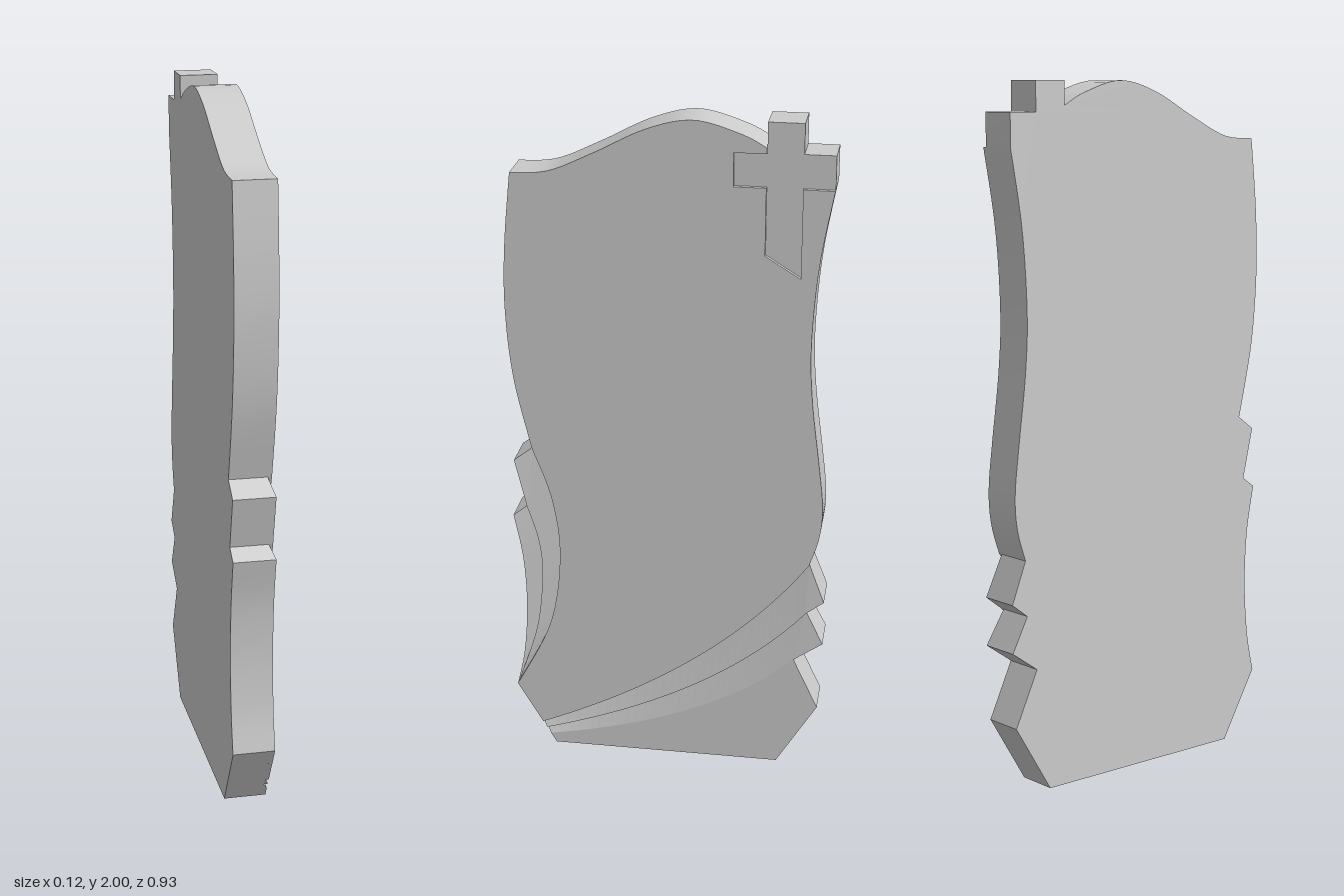
import * as THREE from 'three';
import { toCreasedNormals } from 'three/addons/utils/BufferGeometryUtils.js';

const BACK = -0.061, FLOOR = 0.049, FACE = 0.061; // depths along x
const STEPS = 32;

// Profiles are drawn as (u, y) with u = -z.
const spline = (...pts) =>
  new THREE.SplineCurve(pts.map(([u, y]) => new THREE.Vector2(u, y)))
    .getPoints(STEPS).map((p) => [p.x, p.y]);
const bow = (a, c, b) =>
  new THREE.QuadraticBezierCurve(new THREE.Vector2(...a), new THREE.Vector2(...c), new THREE.Vector2(...b))
    .getPoints(STEPS).map((p) => [p.x, p.y]);
const reversed = (pts) => [...pts].reverse();

// Slab edges
const backEdge = spline([0.418, 0.68], [0.445, 0.77], [0.452, 0.87], [0.437, 1.01], [0.413, 1.2], [0.405, 1.37], [0.42, 1.6], [0.457, 1.82]);
const topEdge = spline([0.27, 1.932], [0.2, 1.967], [0.07, 2], [-0.06, 1.97], [-0.2, 1.9], [-0.33, 1.842], [-0.44, 1.832]);
const frontEdge = spline([-0.44, 1.832], [-0.461, 1.62], [-0.466, 1.43], [-0.448, 1.22], [-0.4, 1.0]);
const frontLowEdge = spline([-0.462, 0.78], [-0.437, 0.64], [-0.43, 0.48], [-0.442, 0.32], [-0.467, 0.2]);

// Curves bounding the carved drapery folds
const lowFolds = [
  bow([-0.391, 0.07], [0.15, 0.3], [0.418, 0.68]),
  bow([-0.379, 0.05], [0.15, 0.21], [0.413, 0.52]),
  bow([-0.3675, 0.03], [0.13, 0.12], [0.38, 0.36]),
];
const sideFolds = [
  spline([-0.4, 1.0], [-0.345, 0.84], [-0.325, 0.65], [-0.36, 0.42], [-0.467, 0.2]),
  spline([-0.42, 0.81], [-0.388, 0.7], [-0.38, 0.58], [-0.402, 0.4], [-0.467, 0.2]),
  frontLowEdge,
];

function plate(name, outline, from, to, material) {
  const shape = new THREE.Shape(outline.map(([u, y]) => new THREE.Vector2(u, y)));
  const geometry = new THREE.ExtrudeGeometry(shape, { depth: to - from, bevelEnabled: false });
  geometry.translate(0, 0, from).rotateY(Math.PI / 2);
  const mesh = new THREE.Mesh(toCreasedNormals(geometry, 0.4), material);
  mesh.name = name;
  return mesh;
}

// A fold slopes from its deep curve out to its raised curve, then drops as a step.
function fold(name, deep, raised, tip, material) {
  const inner = [...deep], outer = [...raised];
  if (tip) {
    inner.push(inner.at(-1));
    outer.push(tip);
  }
  inner.push(inner.at(-1));
  outer.push(inner.at(-1));
  inner.unshift(inner[0]);
  outer.unshift(inner[0]);
  const positions = [];
  const quad = (a, b, c, d) => [a, b, c, a, c, d].forEach((p) => positions.push(...p));
  const at = ([u, y], x) => [x, y, -u];
  const height = (i) => (i === 0 || i === outer.length - 1 ? FLOOR : FACE);
  for (let i = 0; i < inner.length - 1; i++) {
    const a = at(outer[i], height(i)), b = at(outer[i + 1], height(i + 1));
    quad(a, b, at(inner[i + 1], FLOOR), at(inner[i], FLOOR));
    quad(at(outer[i], FLOOR), at(outer[i + 1], FLOOR), b, a);
  }
  const geometry = new THREE.BufferGeometry();
  geometry.setAttribute('position', new THREE.Float32BufferAttribute(positions, 3));
  geometry.computeVertexNormals();
  const mesh = new THREE.Mesh(geometry, material);
  mesh.name = name;
  return mesh;
}

export function createModel() {
  const group = new THREE.Group();
  group.name = 'carvedHeadstone';
  const stone = new THREE.MeshStandardMaterial({ color: 0xcccccc });
  const carved = new THREE.MeshStandardMaterial({ color: 0xcccccc, side: THREE.DoubleSide });

  // Full silhouette up to the floor of the carving
  group.add(plate('slab', [
    [-0.35, 0], [0.335, 0], [0.455, 0.2], [0.38, 0.36], [0.465, 0.42], [0.413, 0.52], [0.465, 0.56],
    ...backEdge, [0.457, 1.915], [0.37, 1.915], [0.37, 2], [0.27, 2],
    ...topEdge, ...frontEdge.slice(1), [-0.455, 0.96], [-0.42, 0.81], ...frontLowEdge,
  ], BACK, FLOOR, stone));

  // Raised face, leaving the cross recessed
  group.add(plate('raisedFace', [
    ...lowFolds[0], ...backEdge.slice(1),
    [0.37, 1.82], [0.37, 1.565], [0.27, 1.627], [0.27, 1.82], [0.18, 1.82], [0.18, 1.915], [0.27, 1.915],
    ...topEdge, ...frontEdge.slice(1), ...sideFolds[0].slice(1),
  ], FLOOR, FACE, stone));

  // Raised foot below the folds
  group.add(plate('foot', [
    [-0.35, 0], [0.335, 0], [0.455, 0.2], ...reversed(lowFolds[2]),
  ], FLOOR, FACE, stone));

  // Folds sweeping across the base and down the front edge
  const lowTips = [[0.465, 0.56], [0.465, 0.42]];
  const sideTips = [[-0.455, 0.96], null];
  for (let i = 0; i < 2; i++) {
    group.add(fold('baseFold' + (i + 1), lowFolds[i], lowFolds[i + 1], lowTips[i], carved));
    group.add(fold('sideFold' + (i + 1), reversed(sideFolds[i]), reversed(sideFolds[i + 1]), sideTips[i], carved));
  }
  return group;
}
